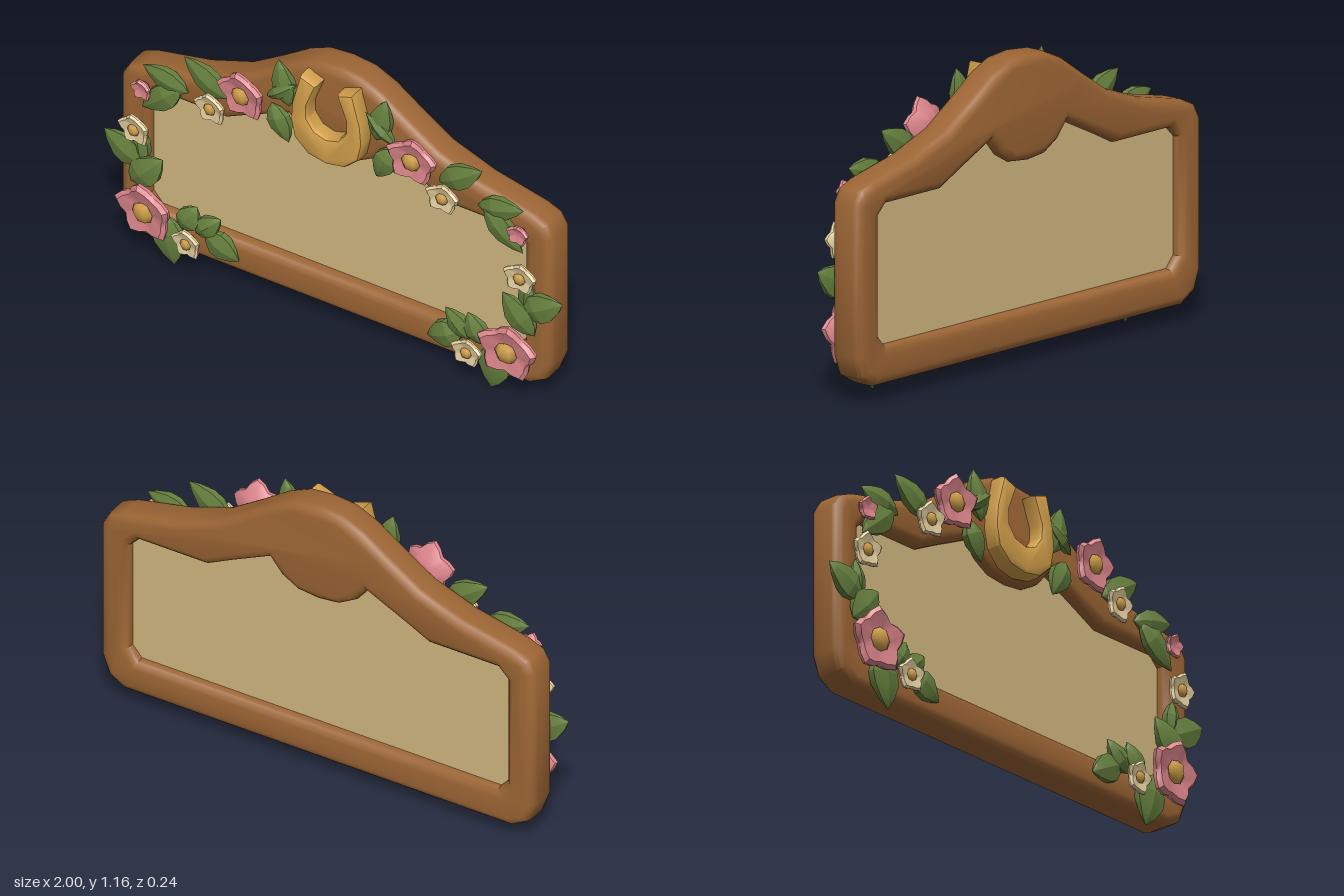
import * as THREE from 'three';
import { toCreasedNormals } from 'three/addons/utils/BufferGeometryUtils.js';

const mat = (name, color) => {
  const m = new THREE.MeshStandardMaterial({ color });
  m.name = name;
  return m;
};

// closed outline from its right half (bottom to top), mirrored across x = 0
function mirroredPoints(half) {
  const right = half.map(([x, y]) => new THREE.Vector2(x, y));
  const left = half.filter(([x]) => x > 0).map(([x, y]) => new THREE.Vector2(-x, y)).reverse();
  return [...right, ...left];
}

// bevelled slab between z0 and z1 whose widest outline is the given shape
function slab(shape, z0, z1, bevel, segments = 3) {
  const geo = new THREE.ExtrudeGeometry(shape, {
    depth: z1 - z0 - 2 * bevel, bevelThickness: bevel, bevelSize: bevel,
    bevelOffset: -bevel, bevelSegments: segments, curveSegments: 4,
  });
  geo.translate(0, 0, z0 + bevel);
  return toCreasedNormals(geo, 0.7);
}

// pointed, flattened leaf of unit length along +y
function leafGeometry() {
  const profile = [[0, 0], [0.28, 0.14], [0.48, 0.36], [0.46, 0.58], [0.24, 0.83], [0, 1]]
    .map(([x, y]) => new THREE.Vector2(x, y));
  return toCreasedNormals(new THREE.LatheGeometry(profile, 6), 0.7);
}

// five-lobed cupped blossom of unit radius facing +z
function blossomGeometry() {
  const profile = [[0, -0.3], [0.45, -0.25], [0.97, 0.05], [1, 0.17], [0.85, 0.27], [0.4, 0.15], [0, 0.1]]
    .map(([x, y]) => new THREE.Vector2(x, y));
  const geo = new THREE.LatheGeometry(profile, 20);
  const p = geo.attributes.position;
  for (let i = 0; i < p.count; i++) {
    const x = p.getX(i), z = p.getZ(i), r = Math.hypot(x, z);
    const lobe = (1 + Math.cos(5 * (Math.atan2(x, z) - Math.PI))) / 2;
    const k = 1 - 0.26 * (1 - lobe) * r;
    p.setXYZ(i, x * k, p.getY(i) - 0.1 * (1 - lobe) * r, z * k);
  }
  geo.rotateX(Math.PI / 2);
  return toCreasedNormals(geo, 0.7);
}

export function createModel() {
  const wood = mat('brown wood', 0x9c6534);
  const board = mat('tan board', 0xd0b680);
  const green = mat('leaf green', 0x66803e);
  const pink = mat('petal pink', 0xdc858b);
  const cream = mat('petal cream', 0xe4cf9f);
  const gold = mat('gold', 0xd3a04b);

  const model = new THREE.Group();
  const add = (name, geo, material, parent = model) => {
    const mesh = new THREE.Mesh(geo, material);
    mesh.name = name;
    parent.add(mesh);
    return mesh;
  };

  // wooden frame with a raised crest
  const outer = mirroredPoints([
    [0.84, 0.06], [0.91, 0.1], [0.94, 0.18], [0.94, 0.76], [0.91, 0.81], [0.85, 0.835], [0.62, 0.885],
    [0.44, 0.95], [0.3, 1.04], [0.19, 1.115], [0.1, 1.155], [0, 1.165],
  ]);
  const inner = mirroredPoints([
    [0.78, 0.205], [0.82, 0.25], [0.82, 0.7], [0.78, 0.74], [0.48, 0.74], [0.38, 0.79],
    [0.21, 0.87], [0.16, 0.81], [0.09, 0.77], [0, 0.76],
  ]);
  const frameShape = new THREE.Shape(outer);
  frameShape.holes.push(new THREE.Path(inner));
  add('frame', slab(frameShape, -0.125, 0.02, 0.035), wood);

  // board set into the frame
  const boardShape = new THREE.Shape(mirroredPoints([
    [0.85, 0.17], [0.86, 0.76], [0.48, 0.78], [0.21, 0.9], [0, 0.9],
  ]));
  add('panel', slab(boardShape, -0.085, -0.03, 0.005, 1), board);

  // horseshoe on the crest
  const horseshoe = new THREE.Shape(mirroredPoints([
    [0, 0.77], [0.08, 0.785], [0.14, 0.84], [0.157, 0.92], [0.15, 1.0], [0.115, 1.13], [0.045, 1.105],
    [0.085, 1.0], [0.083, 0.945], [0.05, 0.9], [0, 0.885],
  ]));
  add('horseshoe', slab(horseshoe, 0, 0.085, 0.018, 2), gold);

  // leaves: base x, base y, tip x, tip y, width, z
  const leaves = [
    [0.19, 0.93, 0.235, 1.13, 0.11, 0.035], [0.265, 0.92, 0.19, 0.765, 0.11, 0.035],
    [0.28, 0.95, 0.15, 1.05, 0.06, 0.045], [0.46, 0.85, 0.65, 0.97, 0.12, 0.03],
    [0.63, 0.81, 0.83, 0.86, 0.11, 0.03], [0.66, 0.82, 0.83, 0.67, 0.12, 0.035],
    [0.85, 0.56, 0.83, 0.38, 0.08, 0.02], [0.82, 0.4, 1.0, 0.5, 0.14, 0.03],
    [0.88, 0.31, 0.74, 0.46, 0.14, 0.035], [0.73, 0.22, 0.69, 0.0, 0.16, 0.035],
    [0.66, 0.18, 0.59, 0.305, 0.11, 0.035], [0.6, 0.18, 0.49, 0.285, 0.1, 0.03],
    [0.56, 0.2, 0.41, 0.125, 0.13, 0.03],
  ];
  // blossoms: name, material, x, y, z, radius, depth scale
  const blossoms = [
    ['largeBlossom', pink, 0.79, 0.235, 0.07, 0.13, 1],
    ['crestBlossom', pink, 0.37, 0.935, 0.065, 0.11, 1],
    ['bud', pink, 0.82, 0.765, 0.05, 0.048, 1.5],
    ['topCreamBlossom', cream, 0.505, 0.82, 0.07, 0.073, 1.1],
    ['sideCreamBlossom', cream, 0.84, 0.585, 0.065, 0.073, 1.1],
    ['bottomCreamBlossom', cream, 0.61, 0.155, 0.07, 0.068, 1.1],
  ];

  const leafGeo = leafGeometry();
  const blossomGeo = blossomGeometry();
  const centreGeo = new THREE.SphereGeometry(0.36, 6, 4).scale(1, 1, 0.5);

  for (const side of [-1, 1]) {
    const garland = new THREE.Group();
    garland.name = side > 0 ? 'leftGarland' : 'rightGarland';
    model.add(garland);

    for (const [bx, by, tx, ty, width, z] of leaves) {
      const dx = side * (tx - bx), dy = ty - by;
      const leaf = add('leaf', leafGeo, green, garland);
      leaf.position.set(side * bx, by, z);
      leaf.rotation.z = Math.atan2(-dx, dy);
      leaf.scale.set(width, Math.hypot(dx, dy), 0.055);
    }

    for (const [name, material, x, y, z, r, depth] of blossoms) {
      const flower = new THREE.Group();
      flower.name = name;
      flower.position.set(side * x, y, z);
      flower.rotation.set(0.1, side * 0.08, side * -0.12);
      flower.scale.set(r, r, r * depth);
      garland.add(flower);
      add('petals', blossomGeo, material, flower);
      if (name !== 'bud') add('flowerCentre', centreGeo, gold, flower).position.z = 0.18;
    }
  }
  return model;
}
